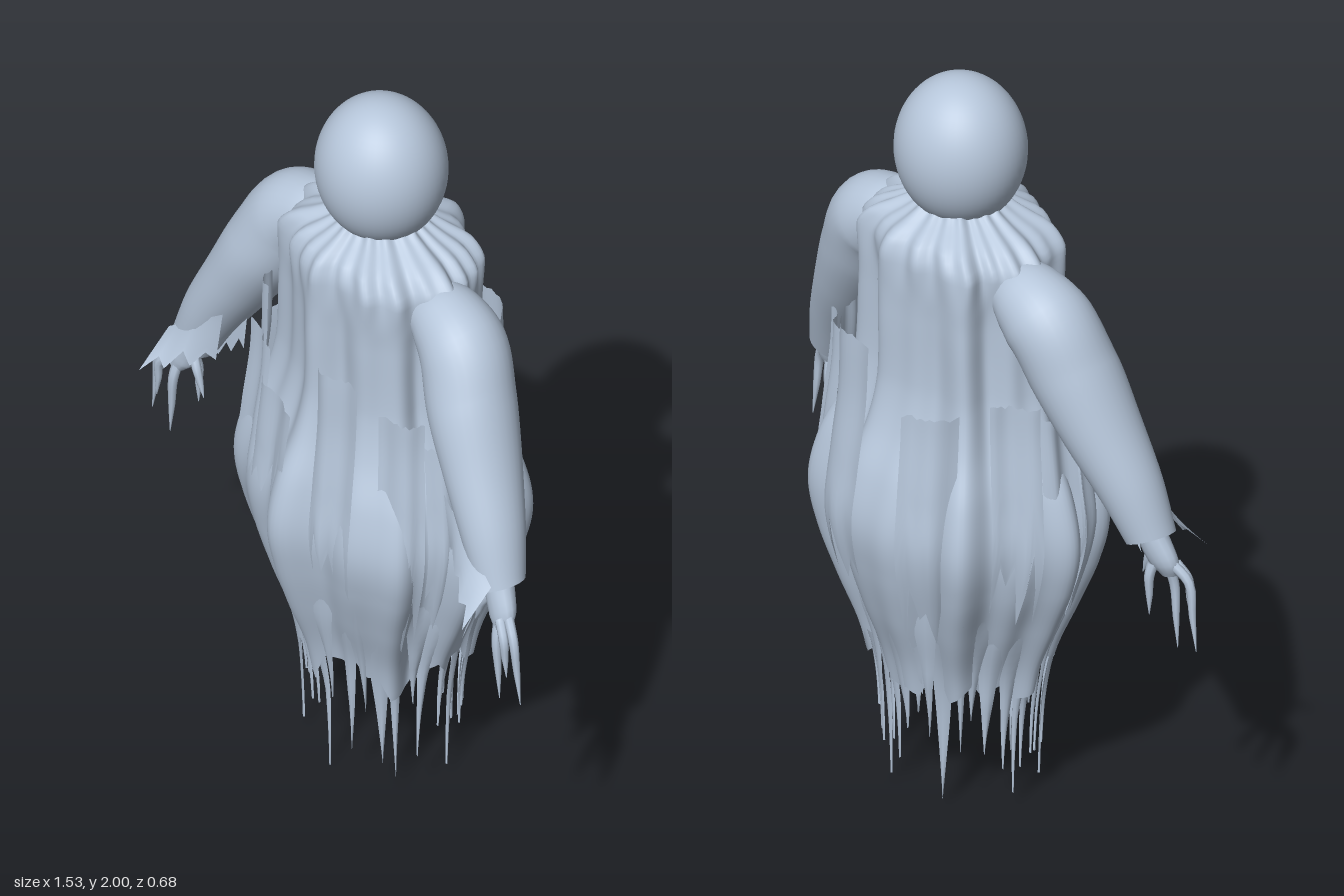
import * as THREE from 'three';
import { mergeVertices } from 'three/addons/utils/BufferGeometryUtils.js';

const TAU = Math.PI * 2;

// Small seeded generator for the torn edges
function seeded(seed) {
  let s = seed;
  return () => {
    s = (s * 16807) % 2147483647;
    return s / 2147483647;
  };
}

// Smooth sheet from a rule fn(u, v) -> [x, y, z]
function sheet(nu, nv, fn) {
  const pos = [], index = [];
  for (let j = 0; j <= nv; j++)
    for (let i = 0; i <= nu; i++) pos.push(...fn(i / nu, j / nv));
  for (let j = 0; j < nv; j++)
    for (let i = 0; i < nu; i++) {
      const a = j * (nu + 1) + i, b = a + nu + 1;
      index.push(a, b, a + 1, b, b + 1, a + 1);
    }
  let g = new THREE.BufferGeometry();
  g.setAttribute('position', new THREE.Float32BufferAttribute(pos, 3));
  g.setIndex(index);
  g = mergeVertices(g, 1e-5);
  g.computeVertexNormals();
  return g;
}

// Rows of [y, radius x, radius z], read with a smooth blend
function profile(rows) {
  return (y) => {
    let i = 0;
    while (i < rows.length - 2 && y < rows[i + 1][0]) i++;
    const t = THREE.MathUtils.clamp((rows[i][0] - y) / (rows[i][0] - rows[i + 1][0]), 0, 1);
    const p = rows[Math.max(i - 1, 0)], a = rows[i], b = rows[i + 1], q = rows[Math.min(i + 2, rows.length - 1)];
    const cr = (k) => 0.5 * (2 * a[k] + (b[k] - p[k]) * t + (2 * p[k] - 5 * a[k] + 4 * b[k] - q[k]) * t * t
      + (3 * a[k] - p[k] - 3 * b[k] + q[k]) * t * t * t);
    return [cr(1), cr(2)];
  };
}

const robeSize = profile([
  [1.67, 0.12, 0.11], [1.65, 0.15, 0.13], [1.61, 0.23, 0.19], [1.56, 0.28, 0.212], [1.4, 0.275, 0.21],
  [1.2, 0.285, 0.21], [1.08, 0.315, 0.235], [0.95, 0.37, 0.285], [0.82, 0.395, 0.31], [0.7, 0.375, 0.295],
  [0.55, 0.315, 0.255], [0.4, 0.255, 0.205], [0.25, 0.23, 0.18], [0, 0.22, 0.17],
]);
const ragSize = profile([
  [1.65, 0.30, 0.24], [1.35, 0.35, 0.262], [1.15, 0.36, 0.272], [0.95, 0.385, 0.3], [0.8, 0.395, 0.315],
  [0.6, 0.34, 0.275], [0.4, 0.27, 0.215], [0.2, 0.235, 0.185], [0, 0.23, 0.18],
]);

// Deep vertical folds, finer gathers near the neck
function fold(a, y) {
  const w = 0.07 * Math.sin(8 * a + 1.3 + 0.4 * y) + 0.045 * Math.sin(13 * a + 2 - 0.8 * y);
  const gathers = 0.045 * Math.sin(21 * a + Math.sin(3 * a)) * THREE.MathUtils.smoothstep(y, 1.45, 1.62);
  return 1 + w * (1 - 0.35 * THREE.MathUtils.smoothstep(y, 1.3, 1.6)) + gathers;
}

// Limb with oval cross-sections from rows of [x, y, z, radius across, radius in z]
function limb(rows, nu, nv) {
  const path = new THREE.CatmullRomCurve3(rows.map((r) => new THREE.Vector3(r[0], r[1], r[2])));
  const size = new THREE.CatmullRomCurve3(rows.map((r) => new THREE.Vector3(r[3], r[4], 0)));
  return sheet(nu, nv, (u, v) => {
    const c = path.getPoint(v), t = path.getTangent(v), r = size.getPoint(v);
    const l = Math.hypot(t.x, t.y) || 1;
    const k = Math.cos(u * TAU) * r.x, d = Math.sin(u * TAU) * r.y;
    return [c.x - (t.y / l) * k, c.y + (t.x / l) * k, c.z + d];
  });
}

export function createModel() {
  const model = new THREE.Group();
  model.name = 'tatteredGhost';
  const cloth = new THREE.MeshStandardMaterial({ color: 0xb6c6da, side: THREE.DoubleSide });
  cloth.name = 'pale blue grey';
  const add = (parent, name, geometry) => {
    const m = new THREE.Mesh(geometry, cloth);
    m.name = name;
    parent.add(m);
    return m;
  };
  const rnd = seeded(4711);

  // Head
  const head = add(model, 'head', new THREE.SphereGeometry(1, 48, 32));
  head.scale.set(0.173, 0.2, 0.165);
  head.position.y = 1.8;

  // Robe with folds and a ragged hem
  const hem = Array.from({ length: 48 }, () => 0.28 + 0.14 * rnd());
  add(model, 'robe', sheet(192, 70, (u, v) => {
    const a = u * TAU;
    const h = (u * 48) % 48, i = Math.floor(h);
    const bottom = THREE.MathUtils.lerp(hem[i], hem[(i + 1) % 48], h - i);
    const y = THREE.MathUtils.lerp(1.67, bottom, Math.pow(v, 1.15));
    const [rx, rz] = robeSize(y), f = fold(a, y);
    return [Math.sin(a) * rx * f, y, Math.cos(a) * rz * f];
  }));

  // Loose cloth panels: [angle, half angle, top, bottom, offset, tilt]
  const rags = new THREE.Group();
  rags.name = 'looseRags';
  model.add(rags);
  const panels = [
    [0.4, 0.2, 1.33, 0.6, 0, 0.02], [-0.24, 0.25, 1.15, 0.72, 0, 0.01], [-0.68, 0.2, 1.24, 0.55, 0, -0.03],
    [-1.1, 0.18, 1.33, 0.45, 0, -0.02], [0.95, 0.2, 1.24, 0.45, 0, 0.03], [1.35, 0.18, 1.15, 0.55, -0.01, 0.02],
    [-1.5, 0.18, 1.18, 0.55, 0, 0.02], [1.8, 0.2, 1.24, 0.45, 0, -0.02], [-1.95, 0.2, 1.24, 0.6, 0.01, 0.04],
    [2.25, 0.18, 1.25, 0.6, 0.01, -0.03], [-2.6, 0.2, 1.2, 0.5, 0.03, -0.05], [2.85, 0.28, 1.33, 0.55, 0.025, 0.02],
  ];
  panels.forEach(([a0, half, top, bottom, off, tilt], n) => {
    const teeth = Array.from({ length: 7 }, (_, i) => bottom + (i % 2 ? 0.12 : 0) + 0.14 * rnd());
    const notch = Array.from({ length: 13 }, () => 0.012 * rnd());
    add(rags, 'rag', sheet(12, 20, (u, v) => {
      const i = Math.round(u * 12), k = i >> 1;
      const torn = i % 2 ? (teeth[k] + teeth[k + 1]) / 2 : teeth[k];
      const y = THREE.MathUtils.lerp(top - notch[i], torn, v);
      const a = a0 + (u - 0.5) * 2 * half * (1 - 0.15 * v);
      const [rx, rz] = ragSize(y);
      const wave = off + tilt * (u - 0.5) + 0.01 * Math.sin(u * 7 + n) - 0.01 * v;
      return [Math.sin(a) * (rx + wave), y, Math.cos(a) * (rz + wave)];
    }));
  });

  // Pointed strips that grow out of the hem folds
  const fringe = new THREE.Group();
  fringe.name = 'hemFringe';
  model.add(fringe);
  for (let k = 0; k < 34; k++) {
    const a0 = (k / 34) * TAU + 0.1 * rnd();
    const tip = k % 5 === 0 ? 0.02 + 0.03 * rnd() : 0.08 + 0.2 * rnd();
    const top = 0.5 + 0.15 * rnd(), width = 0.1 + 0.08 * rnd(), off = 0.95 + 0.08 * rnd();
    const lean = 0.16 * (rnd() - 0.5);
    add(fringe, 'strip', sheet(4, 14, (u, v) => {
      const y = THREE.MathUtils.lerp(top, k === 0 ? 0 : tip, v);
      const a = a0 + lean * v + (u - 0.5) * 2 * width * (1 - v * 0.99);
      const [rx, rz] = robeSize(y);
      const f = THREE.MathUtils.lerp(fold(a, y) - 0.03, off, Math.min(1, v * 1.8)) + 0.03 * Math.sin(u * Math.PI);
      return [Math.sin(a) * rx * f, y, Math.cos(a) * rz * f];
    }));
  }

  // Arms, one per side
  for (const side of [1, -1]) {
    const arm = new THREE.Group();
    arm.name = side > 0 ? 'leftArm' : 'rightArm';
    arm.scale.x = side;
    model.add(arm);

    add(arm, 'sleeve', limb([
      [0.21, 1.5, 0, 0.075, 0.08], [0.275, 1.485, 0, 0.1, 0.1], [0.35, 1.44, 0.007, 0.115, 0.116],
      [0.415, 1.33, 0.03, 0.112, 0.118], [0.495, 1.19, 0.055, 0.096, 0.106], [0.575, 1.05, 0.082, 0.08, 0.086],
      [0.632, 0.925, 0.102, 0.064, 0.065],
    ], 32, 40));

    // Torn cloth hanging under the sleeve
    const tears = Array.from({ length: 7 }, (_, i) => (i % 2 ? 0.65 : 0.88) + 0.12 * rnd());
    add(arm, 'frontTatter', sheet(6, 6, (u, v) => {
      const w = v * tears[Math.round(u * 6)];
      return [0.46 + 0.21 * u + 0.03 * w * (1 - u), 1.12 - 0.16 * u - w * (0.17 - 0.07 * u), 0.15 + 0.01 * u + 0.098 * w * u];
    }));
    add(arm, 'innerTatter', sheet(6, 6, (u, v) => {
      const w = v * tears[6 - Math.round(u * 6)];
      return [0.46 + 0.13 * u + 0.02 * w, 1.11 - 0.17 * u - w * (0.15 - 0.08 * u), 0.07 + 0.02 * u];
    }));

    // Hand and clawed fingers
    add(arm, 'hand', limb([
      [0.61, 0.98, 0.1, 0.04, 0.035], [0.64, 0.91, 0.11, 0.045, 0.035],
      [0.665, 0.86, 0.12, 0.045, 0.03], [0.675, 0.825, 0.13, 0.025, 0.018],
    ], 14, 10));
    const fingers = [
      [0.685, 0.87, 0.12, 0.735, 0.825, 0.14, 0.765, 0.64], [0.68, 0.86, 0.14, 0.715, 0.82, 0.155, 0.727, 0.71],
      [0.665, 0.85, 0.13, 0.672, 0.79, 0.145, 0.685, 0.615], [0.645, 0.86, 0.1, 0.64, 0.82, 0.09, 0.64, 0.71],
      [0.625, 0.9, 0.12, 0.595, 0.86, 0.13, 0.565, 0.785],
    ];
    for (const [x, y, z, jx, jy, jz, tx, ty] of fingers) {
      add(arm, 'clawFinger', limb([
        [x, y, z, 0.016, 0.014], [jx, jy, jz, 0.014, 0.012],
        [(jx + tx) / 2, (jy + ty) / 2, jz, 0.01, 0.008], [tx, ty, jz, 0.001, 0.001],
      ], 8, 12));
    }
  }
  return model;
}
